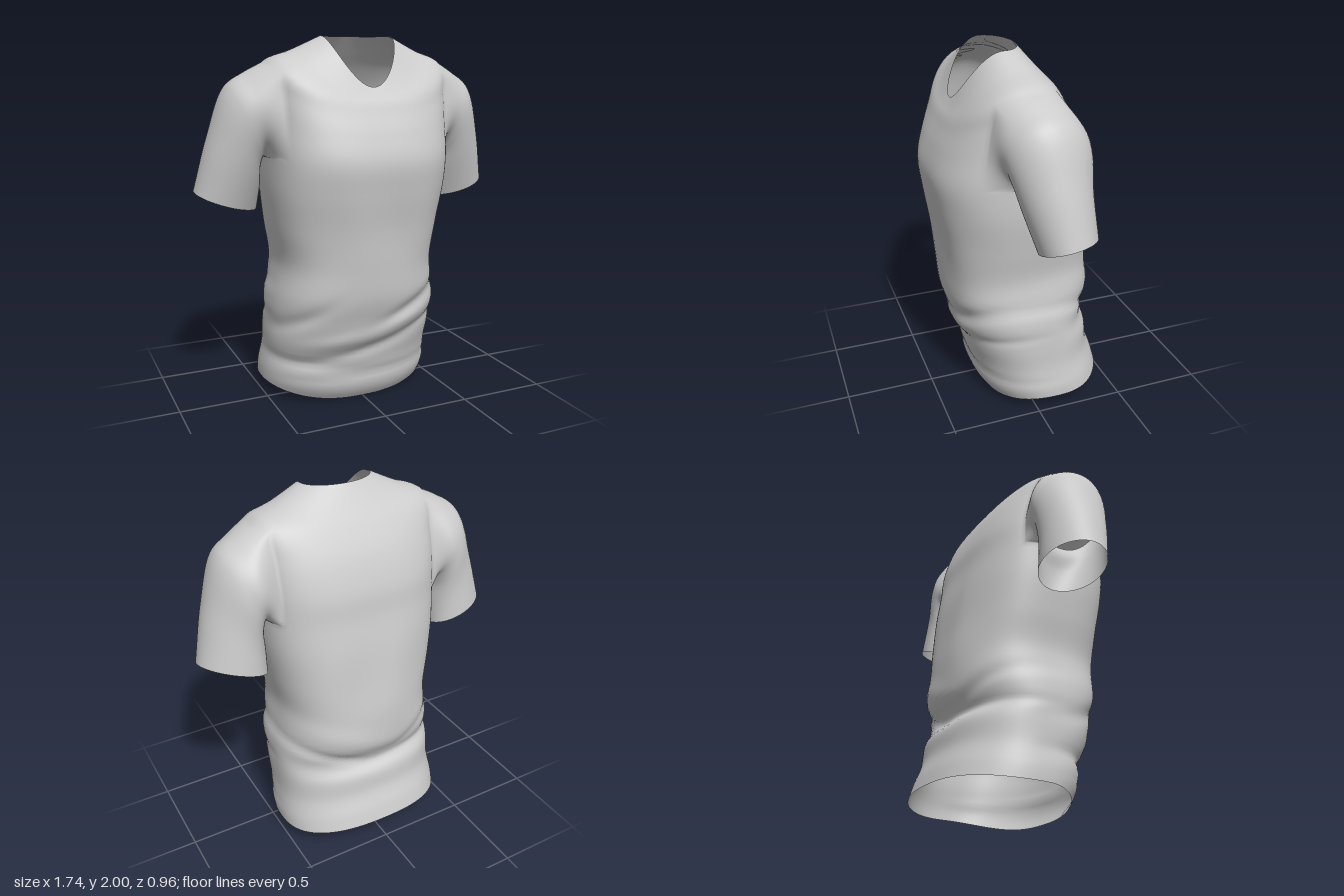
import * as THREE from 'three';

const N = 96, STEP = 6;              // columns around the torso, rows per section
const HOLE_LOW = 9, HOLE_TOP = 12;   // sections between which the armholes open
const HOLE_COLS = 8;                 // half width of an armhole in columns

// Torso sections, hem to neckline:
// [front y, side y, back y, half width, front z, side z, back z, roundness]
const SECTIONS = [
  [0.00, 0.08, 0.12, 0.50, 0.21, -0.12, -0.48, 0.83],
  [0.08, 0.15, 0.20, 0.50, 0.255, -0.10, -0.455, 0.83],
  [0.25, 0.27, 0.30, 0.485, 0.29, -0.07, -0.415, 0.82],
  [0.40, 0.40, 0.41, 0.485, 0.34, -0.04, -0.40, 0.80],
  [0.50, 0.50, 0.50, 0.485, 0.37, -0.02, -0.36, 0.80],
  [0.63, 0.62, 0.62, 0.475, 0.405, 0.00, -0.395, 0.80],
  [0.80, 0.80, 0.80, 0.44, 0.42, 0.01, -0.395, 0.78],
  [1.00, 1.00, 1.00, 0.47, 0.435, 0.02, -0.37, 0.75],
  [1.20, 1.20, 1.20, 0.495, 0.465, 0.03, -0.345, 0.72],
  [1.36, 1.38, 1.37, 0.50, 0.48, 0.03, -0.315, 0.70],
  [1.50, 1.55, 1.52, 0.50, 0.445, 0.03, -0.295, 0.70],
  [1.60, 1.72, 1.68, 0.505, 0.405, 0.04, -0.24, 0.73],
  [1.66, 1.865, 1.81, 0.50, 0.38, 0.05, -0.165, 0.80],
  [1.70, 1.93, 1.91, 0.35, 0.355, 0.07, -0.09, 0.90],
  [1.74, 2.00, 2.00, 0.20, 0.33, 0.10, -0.02, 1.00],
];

// Left sleeve sections:
// [outer x, outer y, inner x, inner y, centre z, half depth, forward lean, front drop]
const SLEEVE = [
  [0.60, 1.815, 0.512, 1.37, 0.02, 0.22, 0.03, 0.01],
  [0.70, 1.745, 0.525, 1.32, 0.01, 0.21, 0.03, 0.01],
  [0.795, 1.49, 0.515, 1.23, -0.01, 0.18, 0.03, 0.02],
  [0.87, 1.20, 0.52, 1.095, -0.05, 0.153, 0.03, 0.025],
];

// Creases in the cloth: [x, y, slope, half length, half width, depth]
const FRONT_FOLDS = [
  [0.25, 0.56, 0.45, 0.26, 0.045, 0.022],
  [0.30, 0.42, 0.30, 0.24, 0.030, 0.014],
  [-0.05, 0.31, 0.20, 0.35, 0.035, 0.014],
  [-0.30, 0.23, -0.15, 0.25, 0.030, 0.014],
  [0.10, 0.16, 0.05, 0.40, 0.025, 0.010],
  [-0.40, 0.50, 0.60, 0.15, 0.050, 0.014],
  [0.10, 0.46, 0.25, 0.25, 0.045, -0.014],
  [-0.15, 0.38, 0.10, 0.25, 0.040, -0.010],
];
const BACK_FOLDS = [
  [0.28, 0.57, 0.40, 0.25, 0.030, 0.020],
  [-0.20, 0.48, -0.05, 0.30, 0.028, 0.014],
  [0.20, 0.68, 0.35, 0.30, 0.060, -0.012],
  [-0.32, 0.62, -0.40, 0.18, 0.040, 0.012],
];

const bump = (v, width) => Math.exp(-((v / width) ** 2));

// Smooth interpolation of the section values
function sectionAt(t) {
  const last = SECTIONS.length - 1;
  const i = Math.min(Math.floor(t), last - 1), f = t - i;
  const at = (j) => SECTIONS[Math.max(0, Math.min(last, j))];
  return SECTIONS[0].map((_, k) => {
    const [a, b, c, d] = [at(i - 1)[k], at(i)[k], at(i + 1)[k], at(i + 2)[k]];
    return b + 0.5 * f * (c - a + f * (2 * a - 5 * b + 4 * c - d + f * (3 * (b - c) + d - a)));
  });
}

// Sum of the creases at a point, plus a soft vertical drape
function foldDepth(folds, x, y) {
  let d = 0.005 * bump(y - 0.95, 0.3) * Math.sin(17 * x + 3 * y);
  for (const [fx, fy, slope, len, width, depth] of folds)
    d -= depth * bump(x - fx, len) * bump(y - fy - slope * (x - fx), width);
  return d;
}

function torsoPoint(t, col) {
  const [yF, yS, yB, w, zF, zS, zB, p] = sectionAt(t);
  const th = (col / N) * Math.PI * 2, c = Math.cos(th), s = Math.sin(th);
  const front = s >= 0;
  const x = w * Math.sign(c) * Math.abs(c) ** p;
  const z = zS + ((front ? zF : zB) - zS) * Math.abs(s) ** p;
  const y = yS + ((front ? yF : yB) - yS) * s * s;
  // blend front and back folds across the side seam
  const mix = THREE.MathUtils.smoothstep(s, -0.3, 0.3);
  const d = THREE.MathUtils.smoothstep(y, 0.06, 0.16) *
    (mix * foldDepth(FRONT_FOLDS, x, y) + (1 - mix) * foldDepth(BACK_FOLDS, x, y));
  return [x + c * d, y, z + s * d];
}

export function createModel() {
  const group = new THREE.Group();
  const pos = [];
  const rows = (SECTIONS.length - 1) * STEP;
  const low = HOLE_LOW * STEP, top = HOLE_TOP * STEP;
  const id = (r, c) => r * N + ((c + N) % N);

  // Torso grid, leaving out the armholes
  for (let r = 0; r <= rows; r++)
    for (let c = 0; c < N; c++) pos.push(...torsoPoint(r / STEP, c));
  const inHole = (r, c) =>
    r >= low && r < top && (c + HOLE_COLS) % (N / 2) < 2 * HOLE_COLS;
  const torso = [];
  for (let r = 0; r < rows; r++)
    for (let c = 0; c < N; c++) {
      if (inHole(r, c)) continue;
      const a = id(r, c), b = id(r, c + 1), u = id(r + 1, c), v = id(r + 1, c + 1);
      torso.push(a, u, b, b, u, v);
    }

  // Armhole edge as [row, column offset]: top, front, bottom, back
  const edge = [];
  for (let k = 0; k < HOLE_COLS; k++) edge.push([top, k]);
  for (let r = top; r > low; r--) edge.push([r, HOLE_COLS]);
  for (let k = HOLE_COLS; k > -HOLE_COLS; k--) edge.push([low, k]);
  for (let r = low; r < top; r++) edge.push([r, -HOLE_COLS]);
  for (let k = -HOLE_COLS; k < 0; k++) edge.push([top, k]);

  // Sleeve lofted from the armhole edge to the cuff
  const makeSleeve = (side) => {
    const n = edge.length, len = 28, index = [], loops = [];
    for (let i = 0; i < n; i++) {
      const [r, k] = edge[i];
      const start = id(r, side > 0 ? k : N / 2 - k);
      const phi = (i / n) * Math.PI * 2, c = Math.cos(phi), s = Math.sin(phi);
      const curve = new THREE.CatmullRomCurve3([
        new THREE.Vector3().fromArray(pos, start * 3),
        ...SLEEVE.map(([ox, oy, ix, iy, zc, h, lean, drop]) => new THREE.Vector3(
          side * ((ox + ix) / 2 + (c * (ox - ix)) / 2),
          (oy + iy) / 2 + (c * (oy - iy)) / 2 - s * drop,
          zc + s * h + c * lean)),
      ]);
      const line = [start];
      for (let j = 1; j <= len; j++) {
        line.push(pos.length / 3);
        pos.push(...curve.getPoint(j / len).toArray());
      }
      loops.push(line);
    }
    for (let i = 0; i < n; i++)
      for (let j = 0; j < len; j++) {
        const p = loops[i], q = loops[(i + 1) % n];
        const [a, b, u, v] = [p[j], q[j], p[j + 1], q[j + 1]];
        if (side > 0) index.push(a, b, u, b, v, u);
        else index.push(a, u, b, b, u, v);
      }
    return index;
  };
  const parts = { torso, leftSleeve: makeSleeve(1), rightSleeve: makeSleeve(-1) };

  // Shared positions and normals keep the shoulder seams smooth
  const whole = new THREE.BufferGeometry();
  whole.setAttribute('position', new THREE.Float32BufferAttribute(pos, 3));
  whole.setIndex(Object.values(parts).flat());
  whole.computeVertexNormals();

  const cloth = new THREE.MeshStandardMaterial({ color: 0xcccccc, side: THREE.DoubleSide });
  for (const [name, index] of Object.entries(parts)) {
    const geometry = new THREE.BufferGeometry();
    geometry.setAttribute('position', whole.getAttribute('position'));
    geometry.setAttribute('normal', whole.getAttribute('normal'));
    geometry.setIndex(index);
    const mesh = new THREE.Mesh(geometry, cloth);
    mesh.name = name;
    group.add(mesh);
  }
  group.name = 'shirt';
  return group;
}
